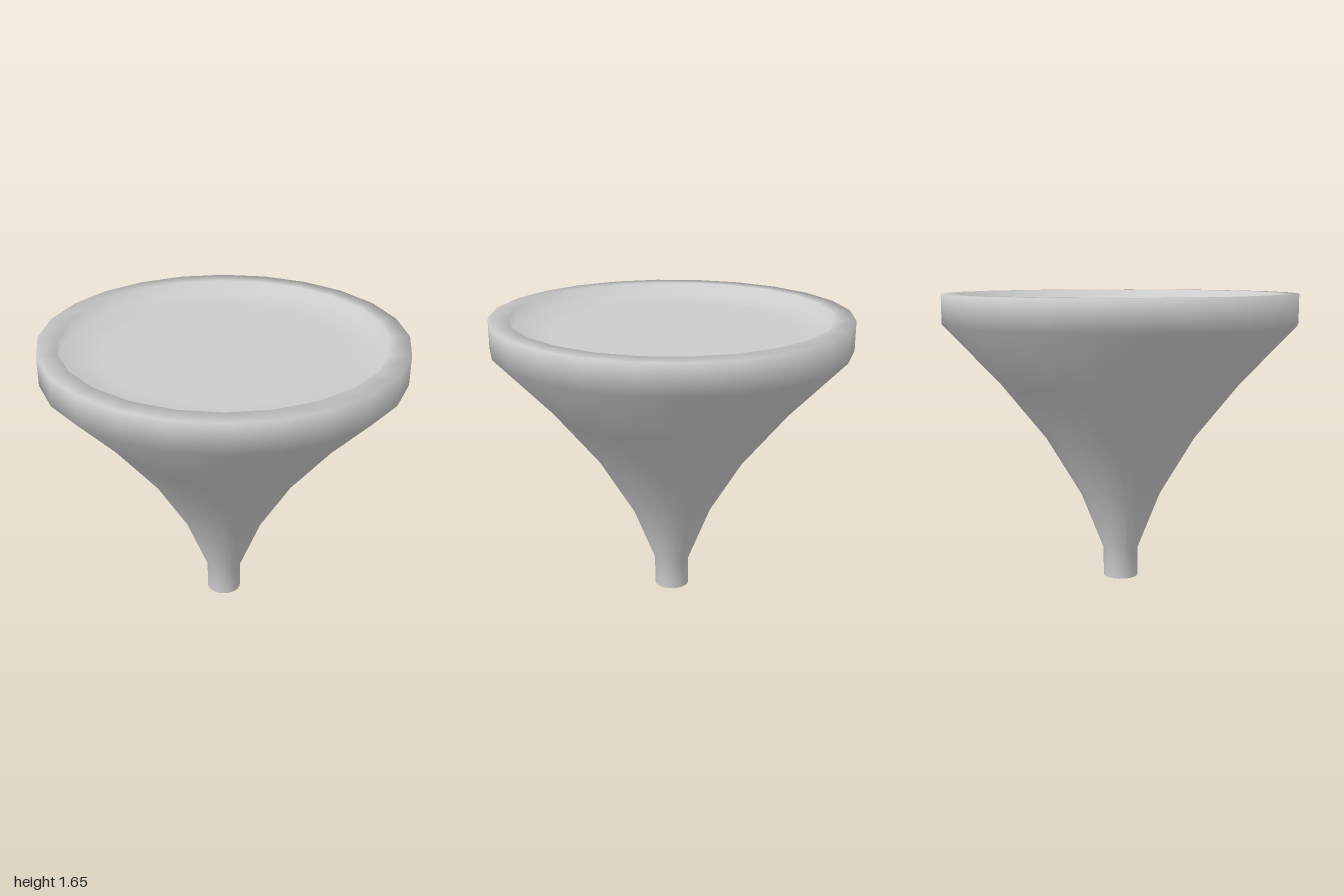
import * as THREE from 'three';

const SIDES = 24;

// Smooth revolved surface from [radius, height] pairs
function revolve(name, points, material) {
  const profile = points.map(([r, y]) => new THREE.Vector2(r, y));
  const mesh = new THREE.Mesh(new THREE.LatheGeometry(profile, SIDES), material);
  mesh.name = name;
  return mesh;
}

export function createModel() {
  const group = new THREE.Group();
  group.name = 'flaredBowl';
  const material = new THREE.MeshStandardMaterial({ color: 0xcccccc });

  // Stem, flared body, rim and the shallow recessed top in one smooth skin
  group.add(revolve('body', [
    [0.1, 0], [0.1, 0.165], // stem
    [0.23, 0.495], [0.43, 0.83], [0.69, 1.155], [1, 1.485], // flare
    [1, 1.65], [0.89, 1.65], // rim
    [0.89, 1.57], [0.68, 1.57], [0, 1.57], // recess
  ], material));

  // Flat underside of the stem
  group.add(revolve('base', [[0, 0], [0.1, 0]], material));

  return group;
}
